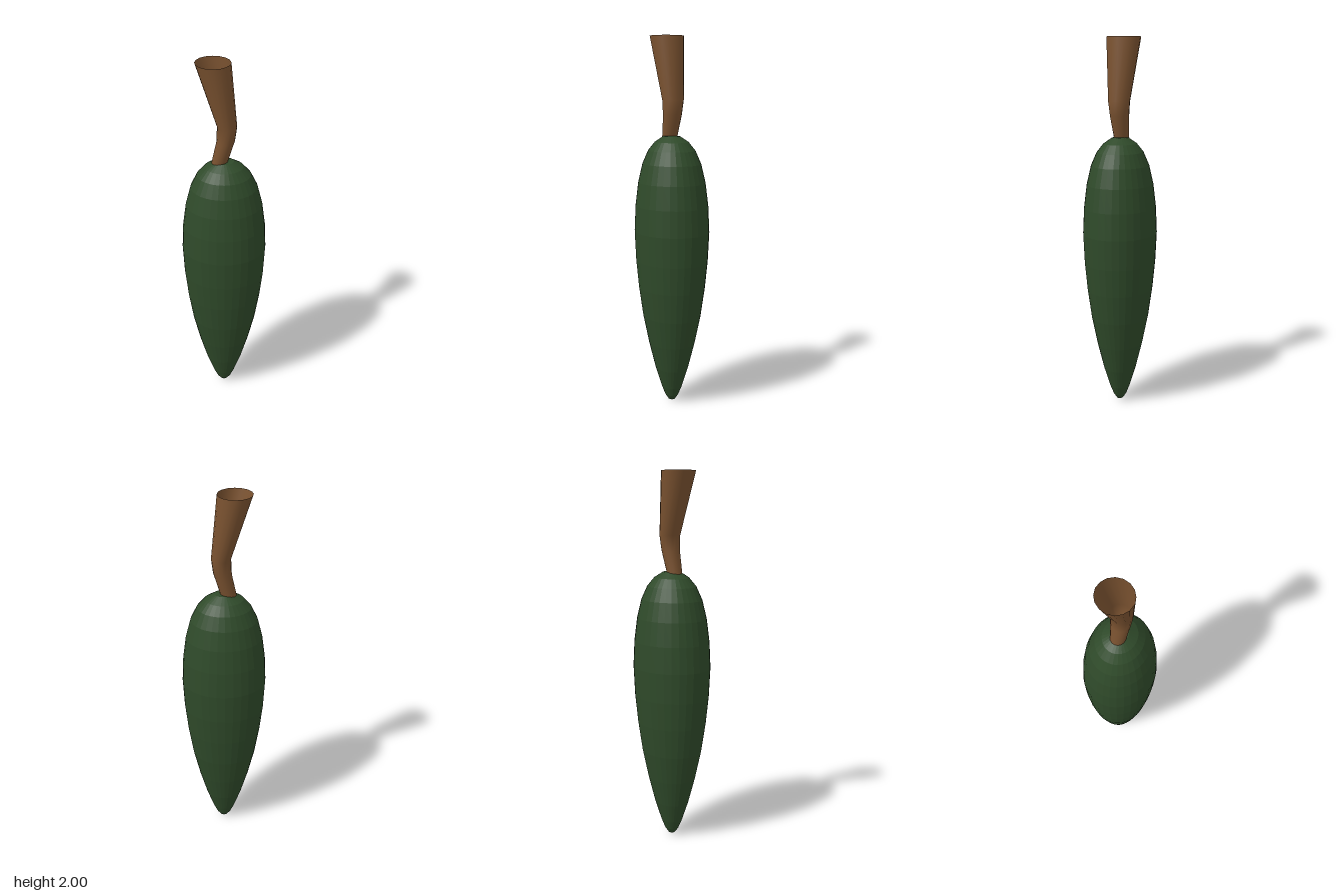
import * as THREE from 'three';

// Open tapered tube through rings of [centre x, centre y, x radius, z radius, tilt]
function ringTube(rings, sides) {
  const pos = [], index = [];
  for (const [cx, cy, rx, rz, tilt] of rings) {
    for (let i = 0; i < sides; i++) {
      const a = (i / sides) * Math.PI * 2;
      const dx = Math.cos(a) * rx;
      pos.push(cx + dx, cy + dx * tilt, Math.sin(a) * rz);
    }
  }
  for (let r = 0; r < rings.length - 1; r++) {
    for (let i = 0; i < sides; i++) {
      const a = r * sides + i, b = r * sides + (i + 1) % sides;
      index.push(a, a + sides, b, b, a + sides, b + sides);
    }
  }
  const geo = new THREE.BufferGeometry();
  geo.setAttribute('position', new THREE.Float32BufferAttribute(pos, 3));
  geo.setIndex(index);
  geo.computeVertexNormals();
  return geo;
}

export function createModel() {
  const group = new THREE.Group();

  // Tapered body, slightly flattened front to back
  const profile = [
    [0, 0.005], [0.02, 0.013], [0.04, 0.04], [0.062, 0.09], [0.1, 0.2], [0.14, 0.345],
    [0.175, 0.5], [0.2, 0.66], [0.216, 0.81], [0.224, 0.97], [0.217, 1.11],
    [0.2, 1.235], [0.174, 1.335], [0.14, 1.405], [0.1, 1.45], [0.05, 1.48], [0, 1.485],
  ].map(([r, y]) => new THREE.Vector2(r, y));
  const body = new THREE.Mesh(
    new THREE.LatheGeometry(profile, 32),
    new THREE.MeshStandardMaterial({ color: 0x2f4a2a, flatShading: true }));
  body.scale.z = 0.87;
  body.name = 'body';
  group.add(body);

  // Hollow bent stem, widening to an open top
  const stem = new THREE.Mesh(
    ringTube([
      [-0.032, 1.43, 0.04, 0.037, 0.2],
      [-0.022, 1.475, 0.043, 0.04, 0.2],
      [0.008, 1.59, 0.047, 0.05, 0.1],
      [0.015, 1.67, 0.05, 0.058, 0],
      [-0.053, 2.0, 0.088, 0.091, 0],
    ], 16),
    new THREE.MeshStandardMaterial({ color: 0x7a5230, side: THREE.DoubleSide }));
  stem.name = 'stem';
  group.add(stem);

  return group;
}
